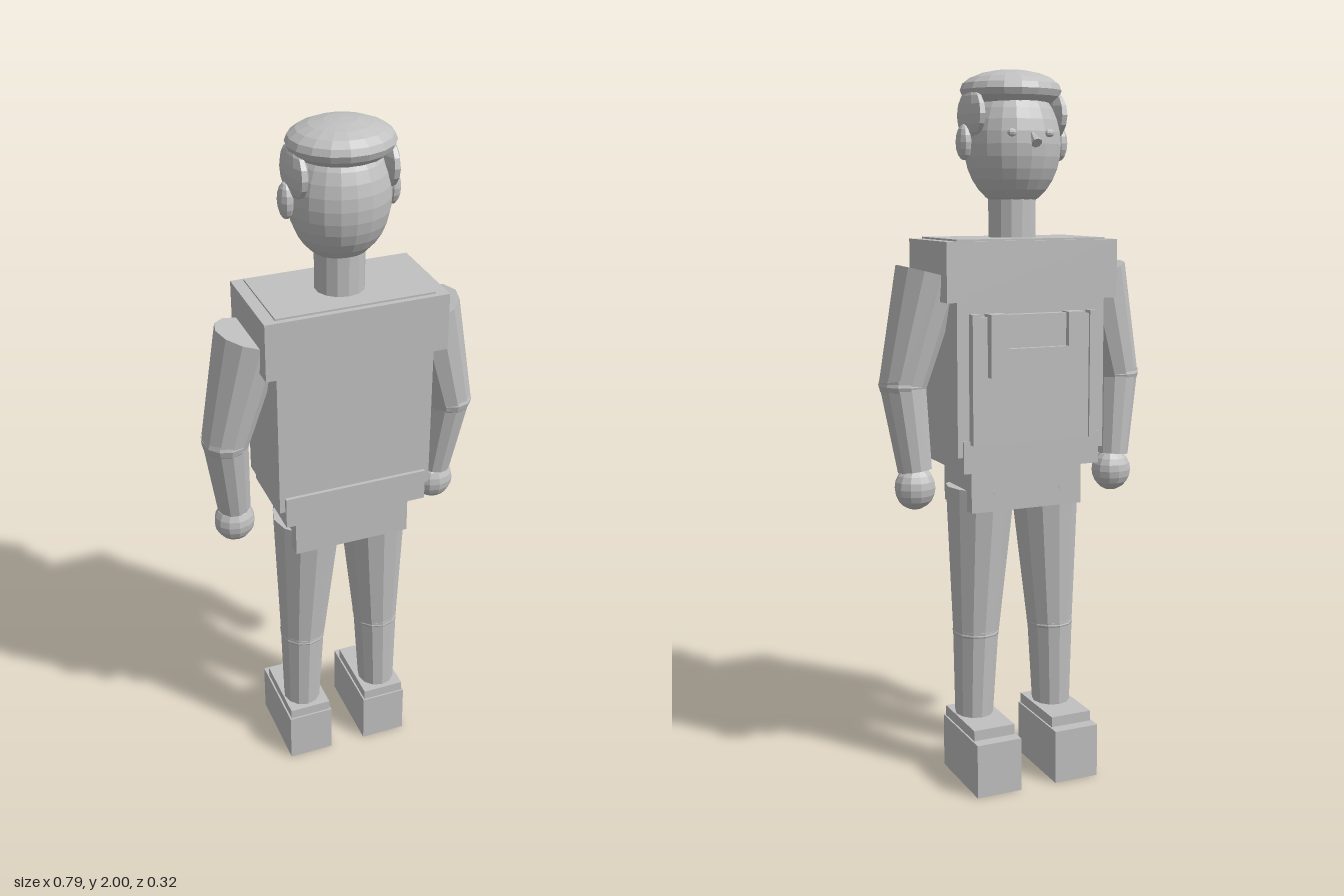
import * as THREE from 'three';

export function createModel() {
  const model = new THREE.Group();
  model.name = 'figure';
  const grey = new THREE.MeshStandardMaterial({ color: 0xc0c0c0 });
  grey.name = 'plain grey';
  grey.flatShading = true;

  const add = (name, geometry, x, y, z) => {
    const mesh = new THREE.Mesh(geometry, grey);
    mesh.name = name;
    mesh.position.set(x, y, z);
    model.add(mesh);
    return mesh;
  };
  // Box given by its limits on each axis
  const box = (name, x0, x1, y0, y1, z0, z1) =>
    add(name, new THREE.BoxGeometry(x1 - x0, y1 - y0, z1 - z0), (x0 + x1) / 2, (y0 + y1) / 2, (z0 + z1) / 2);
  const ball = (name, x, y, z, rx, ry, rz, w = 16, h = 12) =>
    add(name, new THREE.SphereGeometry(1, w, h).scale(rx, ry, rz), x, y, z);
  // Tapered limb from a to b, with its section widened in depth
  const limb = (name, a, b, ra, rb, depth = 1, sides = 12) => {
    const from = new THREE.Vector3(...a), to = new THREE.Vector3(...b);
    const dir = from.clone().sub(to);
    const geometry = new THREE.CylinderGeometry(ra, rb, dir.length(), sides).scale(1, 1, depth);
    const mid = from.add(to).multiplyScalar(0.5);
    const mesh = add(name, geometry, mid.x, mid.y, mid.z);
    mesh.quaternion.setFromUnitVectors(new THREE.Vector3(0, 1, 0), dir.normalize());
    return mesh;
  };

  // Torso
  box('torso', -0.22, 0.22, 0.965, 1.55, -0.11, 0.143);
  box('shoulderYoke', -0.253, 0.253, 1.385, 1.545, -0.123, 0.158);
  box('belt', -0.205, 0.205, 0.92, 1.01, -0.115, 0.153);
  box('hips', -0.168, 0.168, 0.8, 0.96, -0.08, 0.122);

  // Chest panel with side rails and a notched pocket
  box('chestPanel', -0.165, 0.165, 1.0, 1.345, -0.13, -0.1);
  const pocket = new THREE.Shape([
    [-0.14, 1.183], [0.14, 1.183], [0.14, 1.353], [0.09, 1.353],
    [0.09, 1.26], [-0.09, 1.26], [-0.09, 1.353], [-0.14, 1.353],
  ].map(([x, y]) => new THREE.Vector2(x, y)));
  add('chestPocket', new THREE.ExtrudeGeometry(pocket, { depth: 0.045, bevelEnabled: false }), 0, 0, -0.155);
  box('pocketFlap', -0.09, 0.09, 1.255, 1.35, -0.138, -0.11);

  // Neck and head, with the face towards -z
  add('neck', new THREE.CylinderGeometry(0.067, 0.067, 0.16, 14), 0, 1.61, 0.021);
  ball('head', 0, 1.8, 0.018, 0.135, 0.17, 0.128, 20, 16);
  ball('hairCap', 0, 1.945, 0.029, 0.141, 0.055, 0.13, 18, 10);
  const nose = add('nose', new THREE.ConeGeometry(0.015, 0.055, 8), 0, 1.818, -0.117);
  nose.rotation.x = 0.85;

  for (const s of [-1, 1]) {
    box('panelRail', s * 0.175 - 0.011, s * 0.175 + 0.011, 1.0, 1.353, -0.137, -0.1);
    ball('sideHair', s * 0.121, 1.878, 0.022, 0.025, 0.068, 0.086, 10, 8);
    ball('ear', s * 0.143, 1.805, 0.02, 0.021, 0.048, 0.031, 10, 8);
    ball('eye', s * 0.055, 1.828, -0.1, 0.014, 0.011, 0.01, 8, 6);

    // Arms
    limb('upperArm', [s * 0.25, 1.457, 0.017], [s * 0.33, 1.15, 0.02], 0.092, 0.064, 1.1);
    ball('elbow', s * 0.33, 1.155, 0.02, 0.065, 0.05, 0.073, 12, 8);
    limb('forearm', [s * 0.33, 1.17, 0.02], [s * 0.306, 0.92, -0.006], 0.064, 0.047, 1.1);
    ball('hand', s * 0.306, 0.872, -0.006, 0.058, 0.061, 0.052, 12, 10);

    // Legs
    limb('thigh', [s * 0.1, 0.855, 0.02], [s * 0.118, 0.42, 0.016], 0.098, 0.065, 1.03);
    ball('knee', s * 0.118, 0.43, 0.016, 0.067, 0.04, 0.071, 12, 8);
    limb('shin', [s * 0.118, 0.44, 0.016], [s * 0.124, 0.17, 0.018], 0.065, 0.054, 1.08);

    // Shoes
    box('shoe', s * 0.121 - 0.067, s * 0.121 + 0.067, 0, 0.155, -0.16, 0.095);
    box('shoeTop', s * 0.121 - 0.062, s * 0.121 + 0.062, 0.14, 0.185, -0.124, 0.09);
  }
  return model;
}
